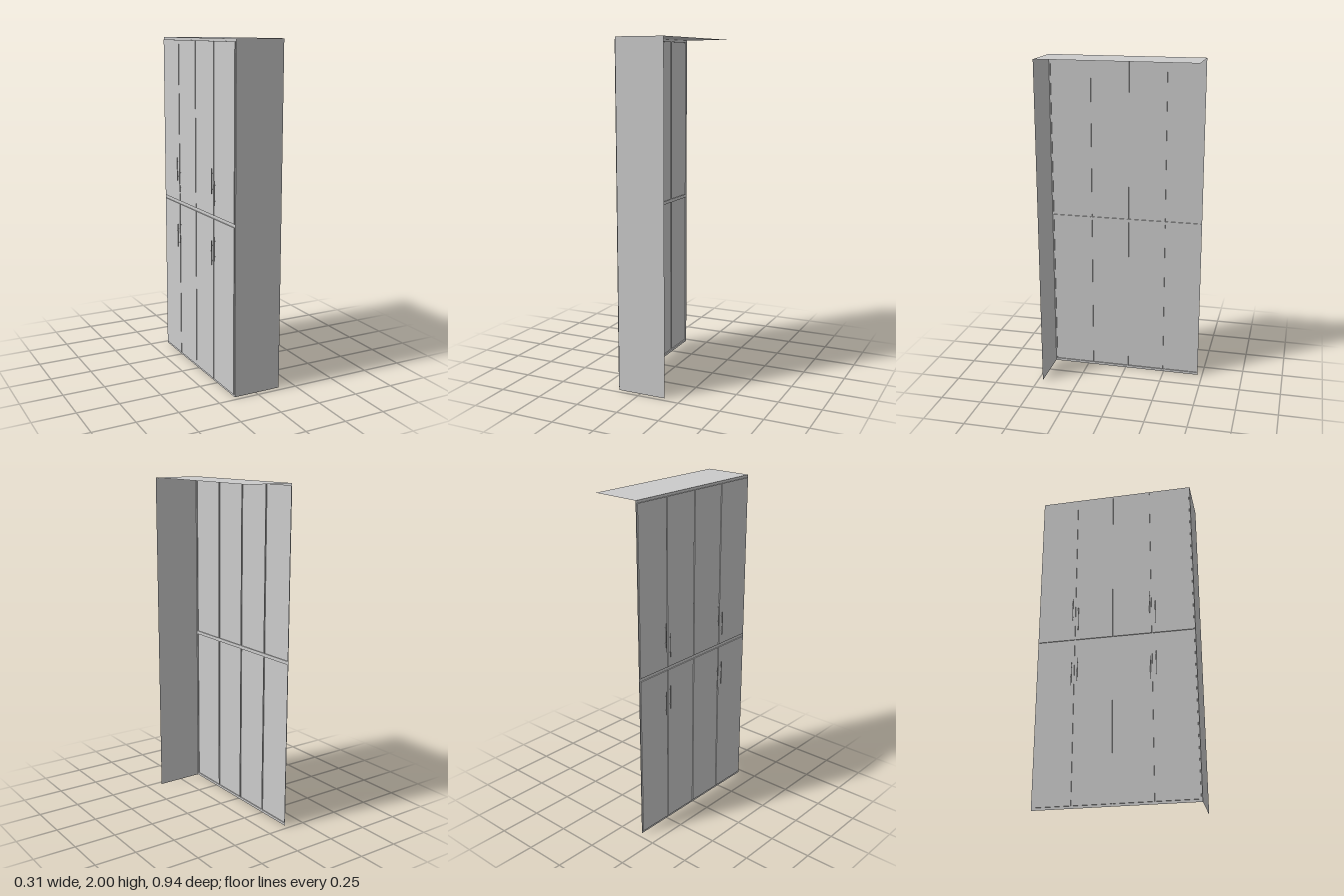
import * as THREE from 'three';

const material = new THREE.MeshStandardMaterial({ color: 0xcccccc, side: THREE.DoubleSide });

const FRONT = -0.137, BACK = 0.153, HALF = 0.471, HEIGHT = 2, DOOR = 0.006;

function add(parent, name, geometry, x = 0, y = 0, z = 0) {
  const mesh = new THREE.Mesh(geometry, material);
  mesh.name = name;
  mesh.position.set(x, y, z);
  parent.add(mesh);
  return mesh;
}

// Box that keeps only some faces (0 +x, 1 -x, 2 +y, 3 -y, 4 +z, 5 -z)
function openBox(w, h, d, faces) {
  const geometry = new THREE.BoxGeometry(w, h, d);
  const index = Array.from(geometry.index.array);
  geometry.setIndex(faces.flatMap((f) => index.slice(f * 6, f * 6 + 6)));
  geometry.clearGroups();
  return geometry;
}

// Rectangle path in the (z, y) plane
function rectangle(path, z0, z1, y0, y1) {
  path.moveTo(z0, y0);
  path.lineTo(z1, y0);
  path.lineTo(z1, y1);
  path.lineTo(z0, y1);
  path.closePath();
  return path;
}

// Upright bar held off the door by two short posts
function makeHandle(y0, y1, z) {
  const handle = new THREE.Group();
  handle.name = 'handle';
  const face = FRONT - DOOR, barX = -0.151, middle = (y0 + y1) / 2;
  add(handle, 'handleBar', new THREE.CylinderGeometry(0.002, 0.002, y1 - y0, 12), barX, middle, z);
  for (const side of [-1, 1]) {
    const post = new THREE.CylinderGeometry(0.0015, 0.0015, face - barX, 10).rotateZ(Math.PI / 2);
    add(handle, 'handlePost', post, (face + barX) / 2, middle + side * 0.046, z);
  }
  return handle;
}

export function createModel() {
  const cabinet = new THREE.Group();
  cabinet.name = 'cabinet';

  // Thin top and one side; the rear, the other side and the base are open
  add(cabinet, 'topAndSidePanels', openBox(BACK - FRONT, HEIGHT, HALF * 2, [2, 4]),
    (FRONT + BACK) / 2, HEIGHT / 2, 0);

  // Door face frame, with one raised hollow door over each opening
  const frame = rectangle(new THREE.Shape(), -HALF, HALF, 0, HEIGHT);
  const columns = [[-0.463, -0.245], [-0.239, -0.017], [-0.011, 0.216], [0.222, 0.464]];
  const rows = [[0.015, 0.99], [1.01, 1.985]];
  for (const [y0, y1] of rows) {
    for (const [z0, z1] of columns) {
      frame.holes.push(rectangle(new THREE.Path(), z0, z1, y0, y1));
      add(cabinet, 'door', openBox(DOOR, y1 - y0, z1 - z0, [1, 2, 3, 4, 5]),
        FRONT - DOOR / 2, (y0 + y1) / 2, (z0 + z1) / 2);
    }
  }
  add(cabinet, 'frontFrame', new THREE.ShapeGeometry(frame).rotateY(-Math.PI / 2), FRONT, 0, 0);

  // Staggered handles on both sides of each door pair
  for (const [zA, zB] of [[-0.26, -0.225], [0.207, 0.24]]) {
    cabinet.add(makeHandle(1.135, 1.28, zA), makeHandle(1.07, 1.215, zB));
    cabinet.add(makeHandle(0.715, 0.86, zA), makeHandle(0.745, 0.89, zB));
  }
  return cabinet;
}
